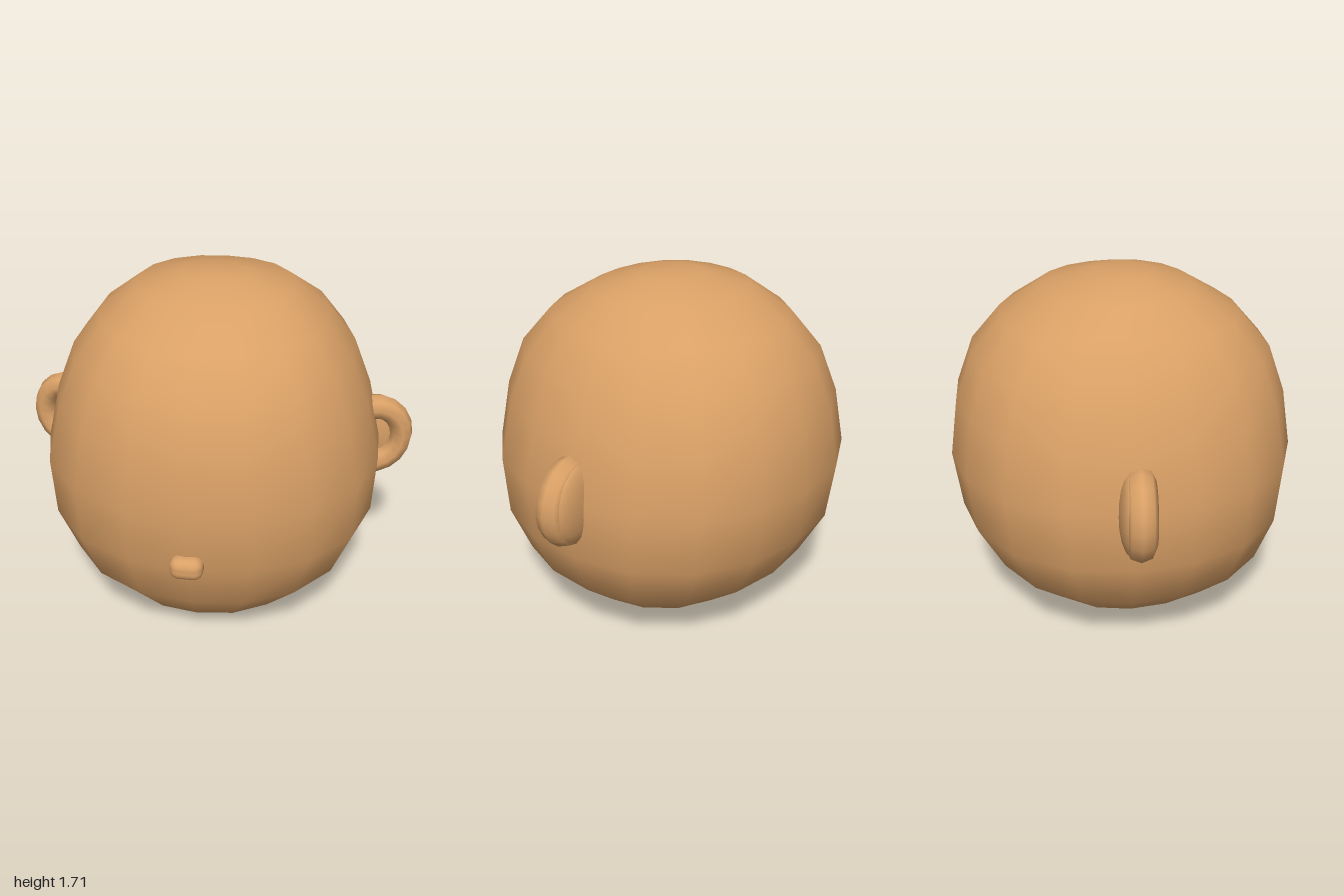
import * as THREE from 'three';
import { mergeVertices } from 'three/addons/utils/BufferGeometryUtils.js';
import { RoundedBoxGeometry } from 'three/addons/geometries/RoundedBoxGeometry.js';

// Head rings: height, half width, depth to the front, depth to the back
const RINGS = [
  [0.005, 0, 0, 0],
  [0.035, 0.27, 0.38, 0.24],
  [0.125, 0.51, 0.57, 0.47],
  [0.31, 0.72, 0.72, 0.69],
  [0.55, 0.82, 0.8, 0.82],
  [0.84, 0.835, 0.83, 0.86],
  [1.12, 0.77, 0.79, 0.82],
  [1.35, 0.68, 0.71, 0.735],
  [1.52, 0.55, 0.56, 0.59],
  [1.65, 0.38, 0.34, 0.38],
  [1.705, 0.17, 0.14, 0.14],
  [1.71, 0, 0, 0],
];
const SIDES = 18;

// Slightly squared rings joined into a smooth closed skin
function headGeometry() {
  const positions = [], index = [], p = 2.2;
  RINGS.forEach(([y, width, front, back], i) => {
    for (let j = 0; j < SIDES; j++) {
      const a = (j / SIDES) * Math.PI * 2;
      const s = Math.sin(a), c = Math.cos(a);
      const r = (Math.abs(s) ** p + Math.abs(c) ** p) ** (-1 / p);
      positions.push(width * r * s, y, (c > 0 ? front : back) * r * c);
      if (i === RINGS.length - 1) continue;
      const k = (j + 1) % SIDES, low = i * SIDES, high = low + SIDES;
      if (i > 0) index.push(low + j, low + k, high + k);
      if (i < RINGS.length - 2) index.push(low + j, high + k, high + j);
      if (i === 0) continue;
      if (i === RINGS.length - 2) continue;
    }
  });
  const geometry = new THREE.BufferGeometry();
  geometry.setAttribute('position', new THREE.Float32BufferAttribute(positions, 3));
  geometry.setIndex(index);
  const merged = mergeVertices(geometry);
  merged.computeVertexNormals();
  return merged;
}

export function createModel() {
  const model = new THREE.Group();
  model.name = 'head';
  const skin = new THREE.MeshStandardMaterial({ color: 0xd9a066 });
  skin.name = 'skin';

  const add = (parent, name, geometry, x, y, z) => {
    const mesh = new THREE.Mesh(geometry, skin);
    mesh.name = name;
    mesh.position.set(x, y, z);
    parent.add(mesh);
    return mesh;
  };

  add(model, 'skull', headGeometry(), 0, 0, 0);
  add(model, 'nose', new RoundedBoxGeometry(0.155, 0.11, 0.12, 3, 0.045), 0, 0.583, 0.8);

  // Ears: a round rim with a closed, domed back, swept backwards
  const rim = new THREE.TorusGeometry(0.145, 0.06, 8, 18);
  const dome = new THREE.SphereGeometry(1, 16, 10);
  for (const [side, name] of [[1, 'leftEar'], [-1, 'rightEar']]) {
    const ear = new THREE.Group();
    ear.name = name;
    ear.position.set(side * 0.795, 0.84, -0.115);
    ear.rotation.y = side * 0.2;
    add(ear, 'earRim', rim, 0, 0, 0).scale.set(1, 1.07, 1.15);
    add(ear, 'earBack', dome, 0, 0, -0.04).scale.set(0.175, 0.195, 0.06);
    model.add(ear);
  }
  return model;
}
